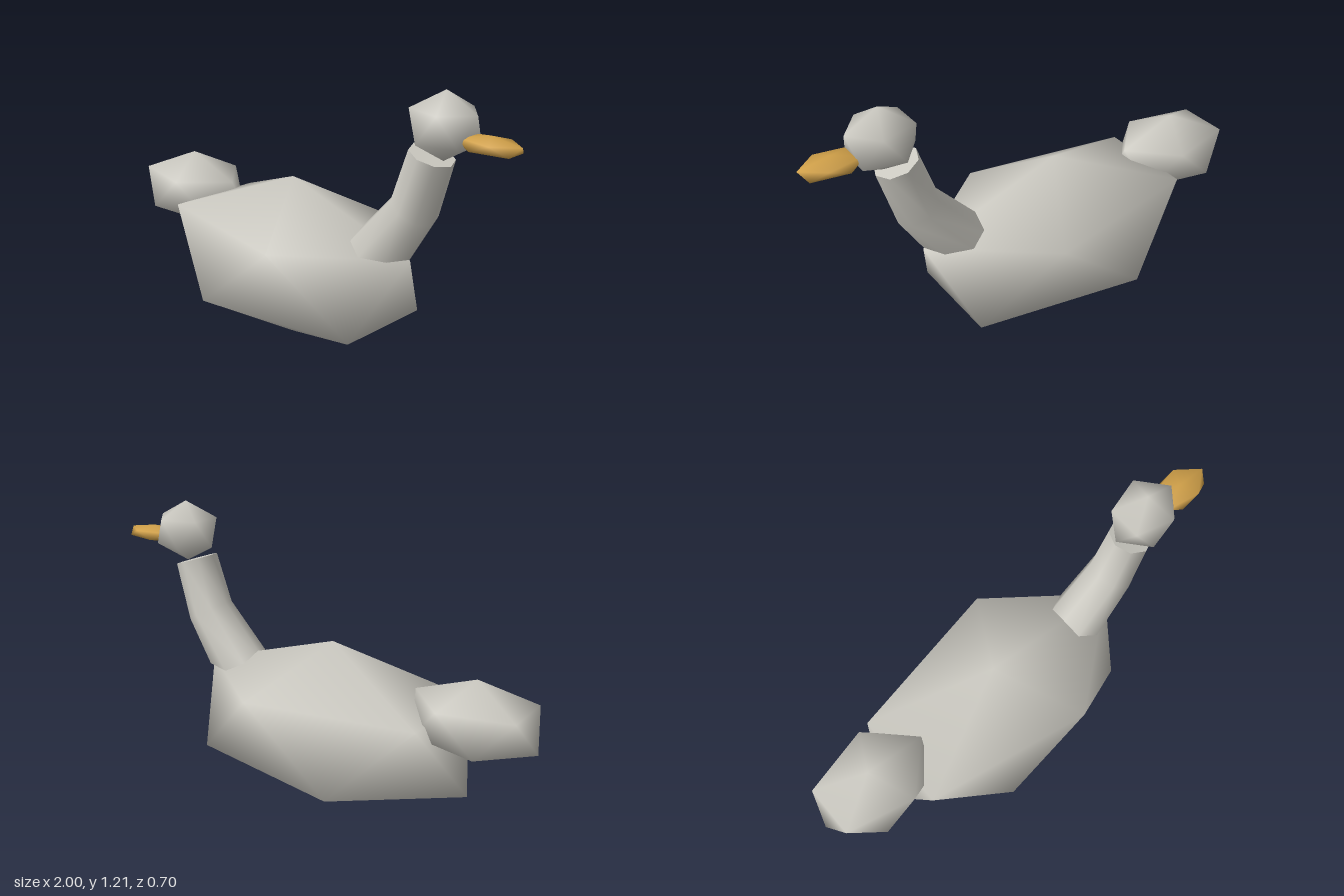
import * as THREE from 'three';

const feather = new THREE.MeshStandardMaterial({ color: 0xcccac2 });
feather.name = 'feather grey';
const horn = new THREE.MeshStandardMaterial({ color: 0xcf9f48 });
horn.name = 'beak orange';

function makeGeometry(points, faces) {
  const geometry = new THREE.BufferGeometry();
  geometry.setAttribute('position', new THREE.Float32BufferAttribute(points.flat(), 3));
  geometry.setIndex(faces.flat());
  geometry.computeVertexNormals();
  return geometry;
}

// Smooth-shaded 20-sided ball standing on a point, stretched to the given radii
function ball(rx, ry, rz) {
  const h = 1 / Math.sqrt(5), r = 2 * h;
  const points = [[0, ry, 0], [0, -ry, 0]];
  const faces = [];
  for (let k = 0; k < 5; k++) {
    const a = k * Math.PI * 0.4, b = a + Math.PI * 0.2;
    points.push([rx * r * Math.cos(a), ry * h, rz * r * Math.sin(a)]);
    points.push([rx * r * Math.cos(b), -ry * h, rz * r * Math.sin(b)]);
    const u = 2 + 2 * k, l = u + 1;
    const u2 = 2 + 2 * ((k + 1) % 5), l2 = u2 + 1;
    faces.push([0, u2, u], [u, u2, l], [l, u2, l2], [l, l2, 1]);
  }
  return makeGeometry(points, faces);
}

// Tube through tilted oval rings: centre [x, y], half-width vector [ax, ay], depth radius rz
function ringTube(rings, sides) {
  const points = [], faces = [];
  const addRing = ({ c, a, rz }) => {
    const start = points.length;
    for (let j = 0; j < sides; j++) {
      const t = (j / sides) * Math.PI * 2;
      points.push([c[0] + a[0] * Math.cos(t), c[1] + a[1] * Math.cos(t), rz * Math.sin(t)]);
    }
    return start;
  };
  const starts = rings.map(addRing);
  for (let i = 0; i + 1 < rings.length; i++) {
    for (let j = 0; j < sides; j++) {
      const k = (j + 1) % sides, lo = starts[i], hi = starts[i + 1];
      faces.push([lo + j, hi + j, hi + k], [lo + j, hi + k, lo + k]);
    }
  }
  // Flat caps use their own corners so the rims stay sharp
  const bottom = addRing(rings[0]), top = addRing(rings[rings.length - 1]);
  for (let j = 1; j + 1 < sides; j++) {
    faces.push([bottom, bottom + j, bottom + j + 1], [top, top + j + 1, top + j]);
  }
  return makeGeometry(points, faces);
}

export function createModel() {
  const model = new THREE.Group();
  model.name = 'bird';
  const add = (name, geometry, material, x = 0, y = 0) => {
    const mesh = new THREE.Mesh(geometry, material);
    mesh.name = name;
    mesh.position.set(x, y, 0);
    model.add(mesh);
  };

  add('body', ball(0.71, 0.36, 0.41), feather, -0.092, 0.36);
  add('tail', ball(0.29, 0.168, 0.213), feather, -0.741, 0.528);
  add('head', ball(0.154, 0.131, 0.133), feather, 0.676, 1.08);
  add('beak', ball(0.145, 0.036, 0.083), horn, 0.87, 1.045);

  // Bent neck, wide at the breast and narrow under the head
  add('neck', ringTube([
    { c: [0.385, 0.525], a: [0.155, 0], rz: 0.12 },
    { c: [0.555, 0.738], a: [0.085, -0.048], rz: 0.1 },
    { c: [0.625, 0.962], a: [0.086, -0.028], rz: 0.09 },
  ], 8), feather);

  return model;
}
